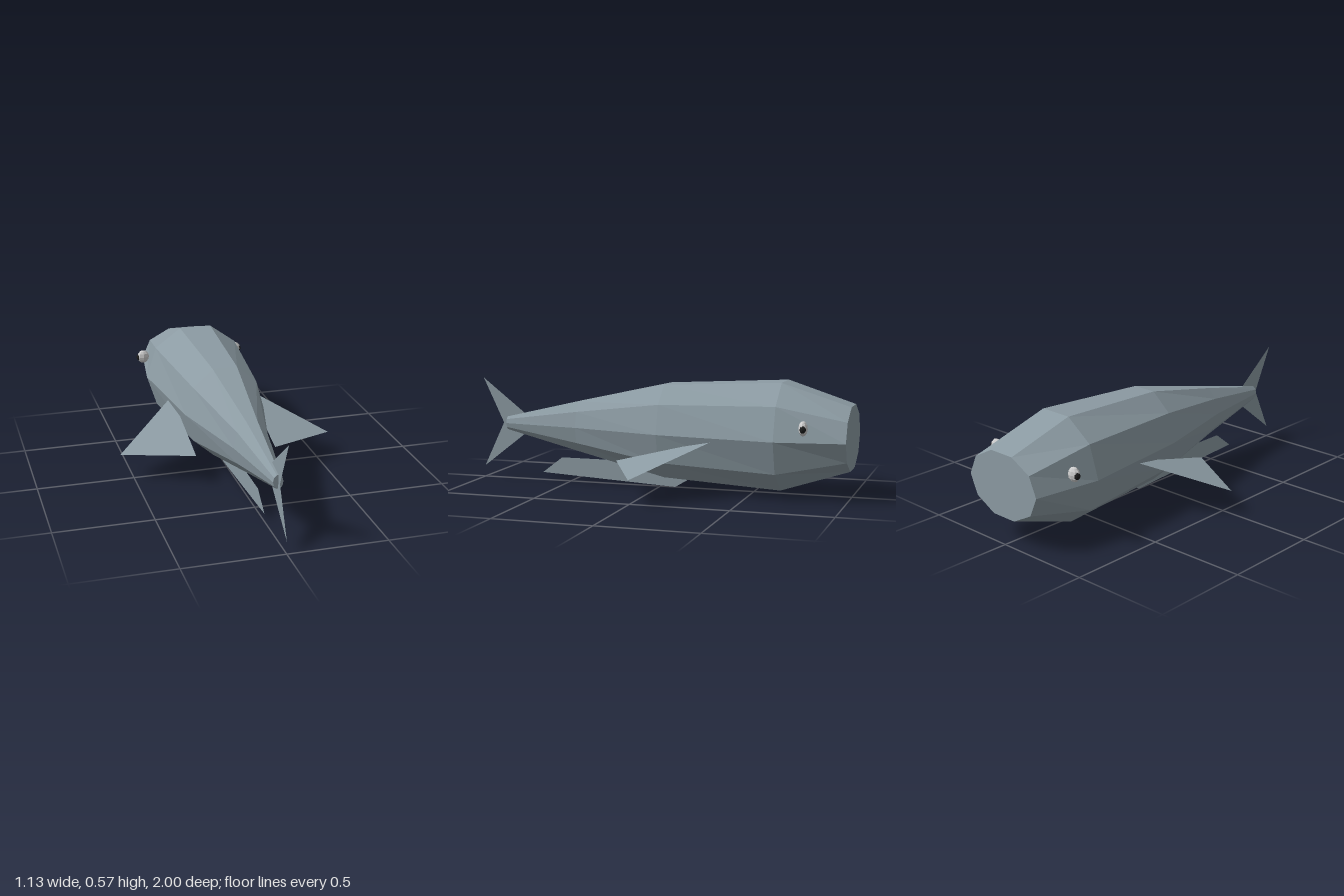
import * as THREE from 'three';

const skin = new THREE.MeshStandardMaterial({ color: 0x8c9ba3, flatShading: true, side: THREE.DoubleSide });
const eyeWhite = new THREE.MeshStandardMaterial({ color: 0xcccccc, flatShading: true });
const pupilDark = new THREE.MeshStandardMaterial({ color: 0x1c1c1c, flatShading: true });

function addMesh(parent, name, geometry, material) {
  const mesh = new THREE.Mesh(geometry, material);
  mesh.name = name;
  parent.add(mesh);
  return mesh;
}

// Ten-sided tapering body: each ring is an ellipse [z, rx, ry], tail to head
function bodyGeometry() {
  const rings = [
    [0.86, 0.025, 0.036],
    [0.44, 0.09, 0.14],
    [-0.04, 0.21, 0.252],
    [-0.655, 0.281, 0.284],
    [-1, 0.23, 0.168],
  ];
  const n = rings.length - 1;
  const geo = new THREE.CylinderGeometry(1, 1, 1, 10, n, false, Math.PI / 2);
  geo.rotateX(Math.PI / 2);
  const pos = geo.attributes.position;
  for (let i = 0; i < pos.count; i++) {
    const [z, rx, ry] = rings[Math.round((0.5 - pos.getZ(i)) * n)];
    pos.setXYZ(i, pos.getX(i) * rx, 0.3 + pos.getY(i) * ry, z);
  }
  geo.computeVertexNormals();
  return geo;
}

// Flat fin in the centre plane from [z, y] points
function centreFin(points) {
  const shape = new THREE.Shape(points.map(([z, y]) => new THREE.Vector2(-z, y)));
  return new THREE.ShapeGeometry(shape).rotateY(Math.PI / 2);
}

export function createModel() {
  const model = new THREE.Group();
  model.name = 'fish';

  addMesh(model, 'body', bodyGeometry(), skin);
  addMesh(model, 'tailFin', centreFin([[0.69, 0.3], [1, 0.54], [0.885, 0.3], [1, 0.06]]), skin);
  addMesh(model, 'bellyFin', centreFin([[0.66, 0.04], [0.55, 0.125], [-0.29, 0.125], [-0.08, 0]]), skin);

  for (const [side, s] of [['left', 1], ['right', -1]]) {
    // Side fin: one thin triangle sloping down and out
    const fin = new THREE.BufferGeometry().setFromPoints([
      new THREE.Vector3(s * 0.21, 0.291, -0.354),
      new THREE.Vector3(s * 0.21, 0.16, 0.17),
      new THREE.Vector3(s * 0.565, 0.13, -0.015),
    ]);
    if (s < 0) fin.setIndex([0, 2, 1]);
    else fin.setIndex([0, 1, 2]);
    fin.computeVertexNormals();
    addMesh(model, side + 'SideFin', fin, skin);

    // Eye with a dark pupil on its outer face
    const eye = new THREE.Group();
    eye.name = side + 'Eye';
    eye.position.set(s * 0.27, 0.372, -0.8);
    addMesh(eye, 'eyeball', new THREE.SphereGeometry(1, 8, 6), eyeWhite).scale.set(0.034, 0.037, 0.023);
    const pupil = addMesh(eye, 'pupil', new THREE.SphereGeometry(1, 8, 6), pupilDark);
    pupil.scale.set(0.017, 0.019, 0.016);
    pupil.position.set(s * 0.021, -0.002, -0.002);
    model.add(eye);
  }
  return model;
}
